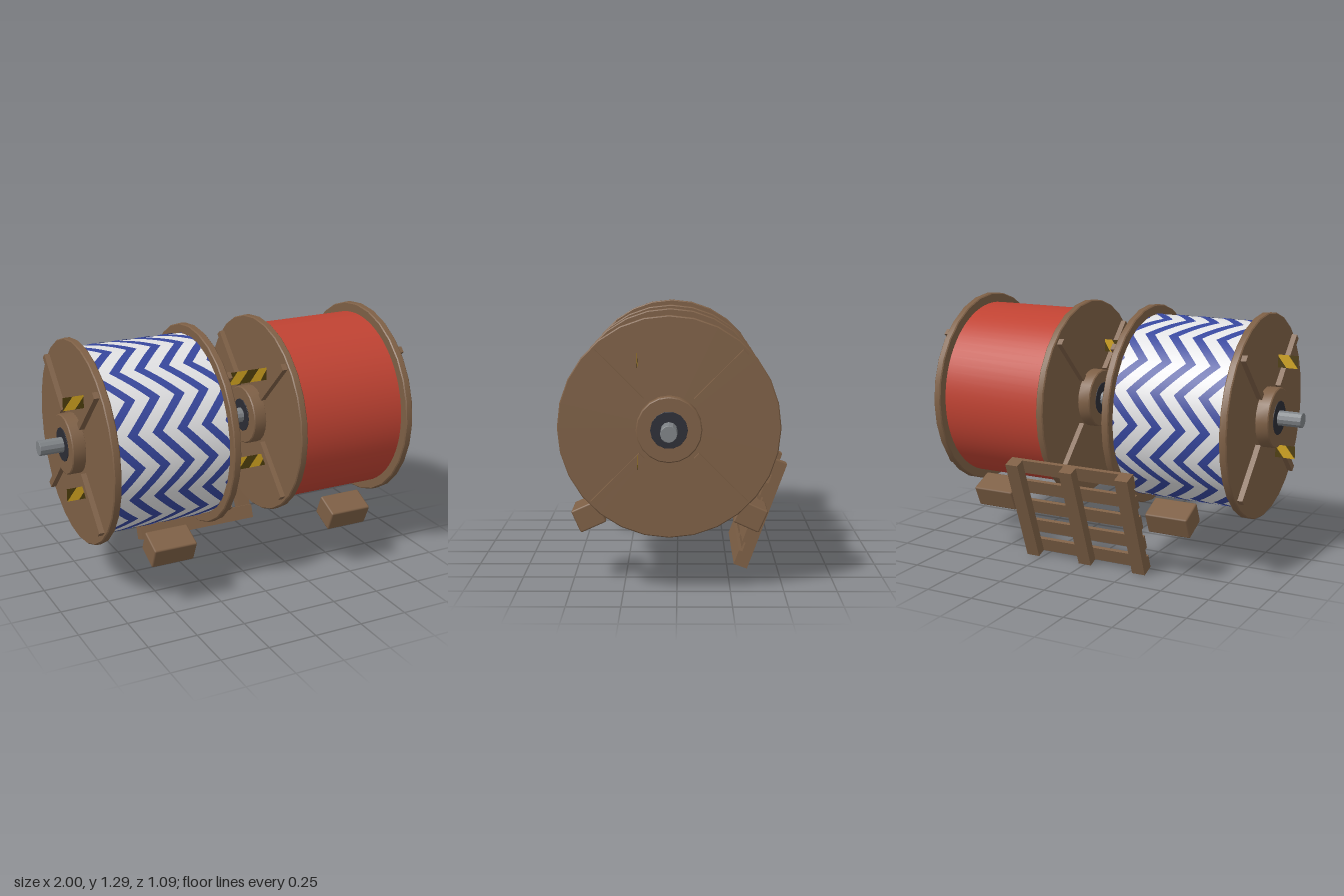
import * as THREE from 'three';
import { toCreasedNormals } from 'three/addons/utils/BufferGeometryUtils.js';
import { RoundedBoxGeometry } from 'three/addons/geometries/RoundedBoxGeometry.js';

const mat = (name, color, side = THREE.FrontSide) => {
  const m = new THREE.MeshStandardMaterial({ color, side });
  m.name = name;
  return m;
};

const AXIS_Y = 0.785, AXIS_Z = 0.035;
const DRUM_R = 0.46, DRUM_HALF = 0.288;

export function createModel() {
  const wood = mat('wood', 0x7d5f45);
  const red = mat('red cable', 0xbf4232);
  const white = mat('white cable', 0xe0e0e2);
  const blue = mat('blue cable', 0x36469c, THREE.DoubleSide);
  const steel = mat('steel', 0x7e8286);
  const bearing = mat('dark bearing', 0x2b2c35);
  const yellow = mat('warning yellow', 0xcfa21f, THREE.DoubleSide);
  const dark = mat('warning dark', 0x4d3d0c, THREE.DoubleSide);

  const model = new THREE.Group();
  model.name = 'cableReels';

  const add = (parent, name, geometry, material, x = 0, y = 0, z = 0) => {
    const mesh = new THREE.Mesh(geometry, material);
    mesh.name = name;
    mesh.position.set(x, y, z);
    parent.add(mesh);
    return mesh;
  };

  // Bevelled disc lying along the x axis
  const disc = (radius, width, sides, bevel = 0.005) => {
    const h = width / 2;
    const profile = [[0, -h], [radius - bevel, -h], [radius, bevel - h], [radius, h - bevel], [radius - bevel, h], [0, h]]
      .map(([r, y]) => new THREE.Vector2(r, y));
    return toCreasedNormals(new THREE.LatheGeometry(profile, sides).rotateZ(-Math.PI / 2), 0.5);
  };

  // Zigzag ribbon wound round the drum, cut off at the drum ends
  const zigzag = (offset, width) => {
    const pos = [], index = [], steps = 144, waves = 9, r = DRUM_R + 0.003;
    const clamp = (x) => THREE.MathUtils.clamp(x, -DRUM_HALF, DRUM_HALF);
    for (let i = 0; i <= steps; i++) {
      const a = (i / steps) * Math.PI * 2;
      const phase = (i / steps * waves) % 1;
      const x = offset + 0.15 * (Math.abs(phase - 0.5) * 2 - 0.5);
      for (const side of [-0.5, 0.5]) pos.push(clamp(x + side * width), Math.sin(a) * r, Math.cos(a) * r);
      if (i < steps) {
        const k = i * 2;
        index.push(k, k + 1, k + 2, k + 1, k + 3, k + 2);
      }
    }
    const g = new THREE.BufferGeometry();
    g.setAttribute('position', new THREE.Float32BufferAttribute(pos, 3));
    // Normals point straight out from the axis
    const normals = pos.map((v, i) => (i % 3 === 0 ? 0 : v / r));
    g.setAttribute('normal', new THREE.Float32BufferAttribute(normals, 3));
    g.setIndex(index);
    return g;
  };

  const makeReel = (name, x, cable) => {
    const reel = new THREE.Group();
    reel.name = name;
    reel.position.set(x, AXIS_Y, AXIS_Z);
    model.add(reel);

    add(reel, 'cableDrum', new THREE.CylinderGeometry(DRUM_R, DRUM_R, DRUM_HALF * 2, 72).rotateZ(-Math.PI / 2), cable);

    for (const s of [-1, 1]) {
      add(reel, 'flange', disc(0.51, 0.038, 28), wood, s * 0.305);
      add(reel, 'hub', disc(0.15, 0.07, 20), wood, s * 0.355);
      add(reel, 'bearing', disc(0.085, 0.02, 14, 0.001), bearing, s * 0.383);
      // Four diagonal braces on the outside of the flange
      for (let i = 0; i < 4; i++) {
        const brace = new THREE.BoxGeometry(0.03, 0.315, 0.034).translate(s * 0.336, 0.333, 0);
        add(reel, 'brace', brace, wood).rotation.x = Math.PI / 4 + i * Math.PI / 2;
      }
    }
    return reel;
  };

  const patterned = makeReel('patternedReel', -0.487, white);
  makeReel('redReel', 0.487, red);
  for (let i = -3; i <= 3; i++) add(patterned, 'zigzagStripe', zigzag(i * 0.125, 0.052), blue);

  // Shared axle
  add(model, 'axle', disc(0.038, 2, 12, 0.002), steel, 0, AXIS_Y, AXIS_Z);

  // Flat warning strips cut into slanted bands of alternating colour
  const warningStrip = (x0, x1, y, height = 0.065) => {
    const strip = new THREE.Group();
    strip.name = 'warningStrip';
    strip.position.set(0, y, 0.178);
    model.add(strip);
    const band = 0.06, slant = 0.05;
    const cut = (x) => THREE.MathUtils.clamp(x, x0, x1);
    for (let k = -1; x0 + k * band < x1; k++) {
      const a = x0 + k * band, b = a + band;
      const left = cut(a), right = cut(b), topLeft = cut(a + slant), topRight = cut(b + slant);
      if (right - left + topRight - topLeft < 1e-4) continue;
      const shape = new THREE.Shape([
        new THREE.Vector2(left, -height / 2), new THREE.Vector2(right, -height / 2),
        new THREE.Vector2(topRight, height / 2), new THREE.Vector2(topLeft, height / 2),
      ]);
      add(strip, 'warningBand', new THREE.ShapeGeometry(shape), k % 2 ? dark : yellow);
    }
  };
  for (const y of [1.038, 0.578]) {
    warningStrip(-0.915, -0.8, y);
    warningStrip(-0.17, 0.17, y);
    warningStrip(0.8, 0.915, y + 0.06);
  }

  // Chocks in front of and behind each drum
  for (const x of [-0.49, 0.49]) {
    for (const s of [-1, 1]) {
      const chock = add(model, 'chock', new RoundedBoxGeometry(0.222, 0.114, 0.134, 1, 0.008), wood, x, 0.327, AXIS_Z + s * 0.386);
      chock.rotation.x = s * 0.42;
    }
  }

  // Pallet leaning at the back
  const pallet = new THREE.Group();
  pallet.name = 'pallet';
  pallet.position.set(0, 0.281, -0.413);
  pallet.rotation.x = -0.353;
  model.add(pallet);
  for (const x of [-0.305, 0, 0.305]) {
    add(pallet, 'palletRunner', new THREE.BoxGeometry(0.07, 0.565, 0.052), wood, x, 0, -0.009);
  }
  for (let i = 0; i < 5; i++) {
    add(pallet, 'palletSlat', new THREE.BoxGeometry(0.68, 0.075, 0.018), wood, 0, -0.245 + i * 0.1225, 0.026);
  }

  return model;
}
